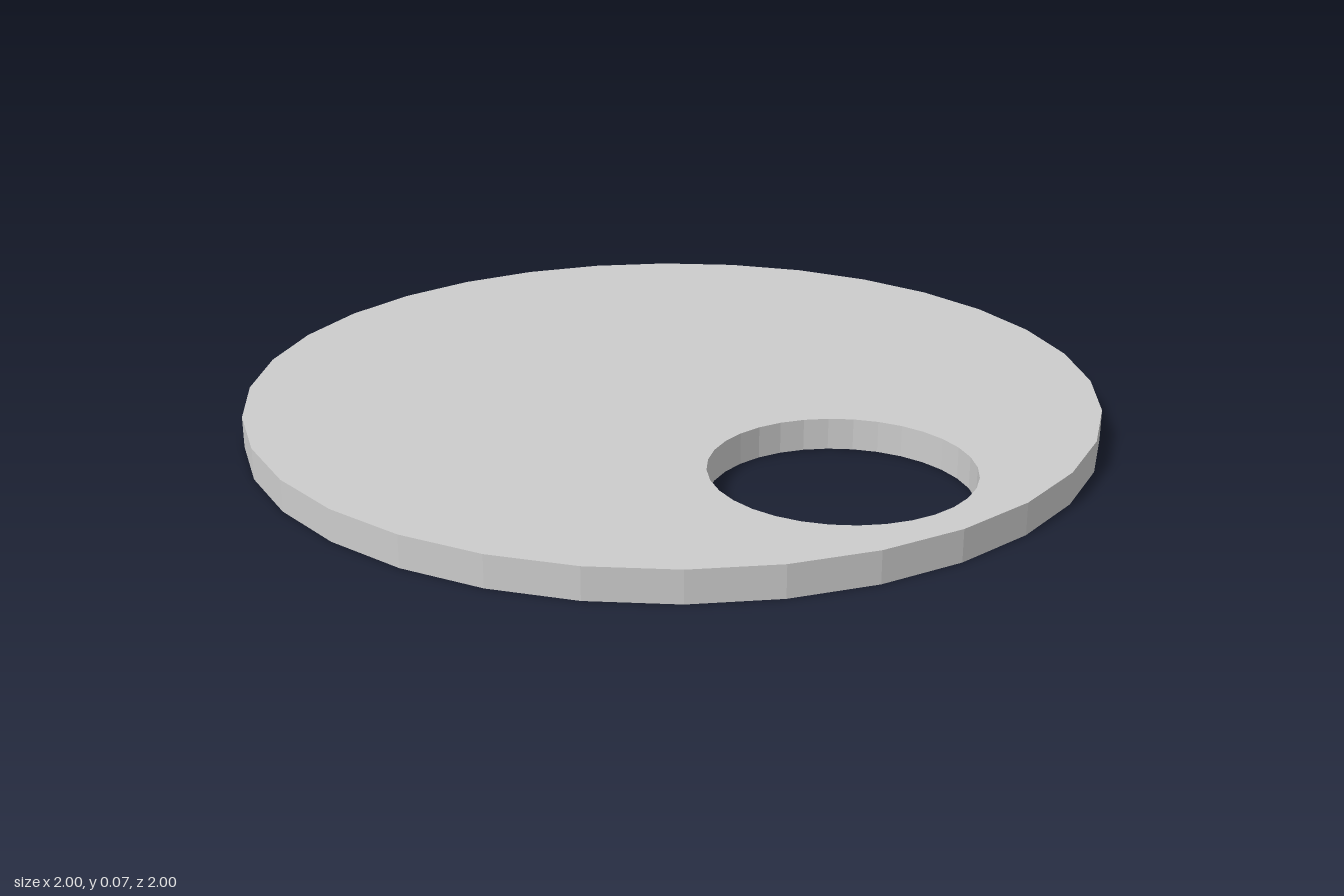
import * as THREE from 'three';

const SIDES = 32;

// Regular polygon points around (0, cy), with corners on the axes
function ring(radius, cy = 0) {
  return Array.from({ length: SIDES }, (_, i) => {
    const a = (i / SIDES) * Math.PI * 2;
    return new THREE.Vector2(radius * Math.cos(a), cy + radius * Math.sin(a));
  });
}

export function createModel() {
  const model = new THREE.Group();
  model.name = 'discWithHole';

  // Thin faceted disc with an off-centre round hole near the front
  const outline = new THREE.Shape(ring(1));
  outline.holes.push(new THREE.Path(ring(0.288, -0.628)));
  const geometry = new THREE.ExtrudeGeometry(outline, { depth: 0.073, bevelEnabled: false });
  geometry.rotateX(-Math.PI / 2);

  const disc = new THREE.Mesh(
    geometry,
    new THREE.MeshStandardMaterial({ color: 0xcccccc, flatShading: true })
  );
  disc.name = 'disc';
  model.add(disc);
  return model;
}
